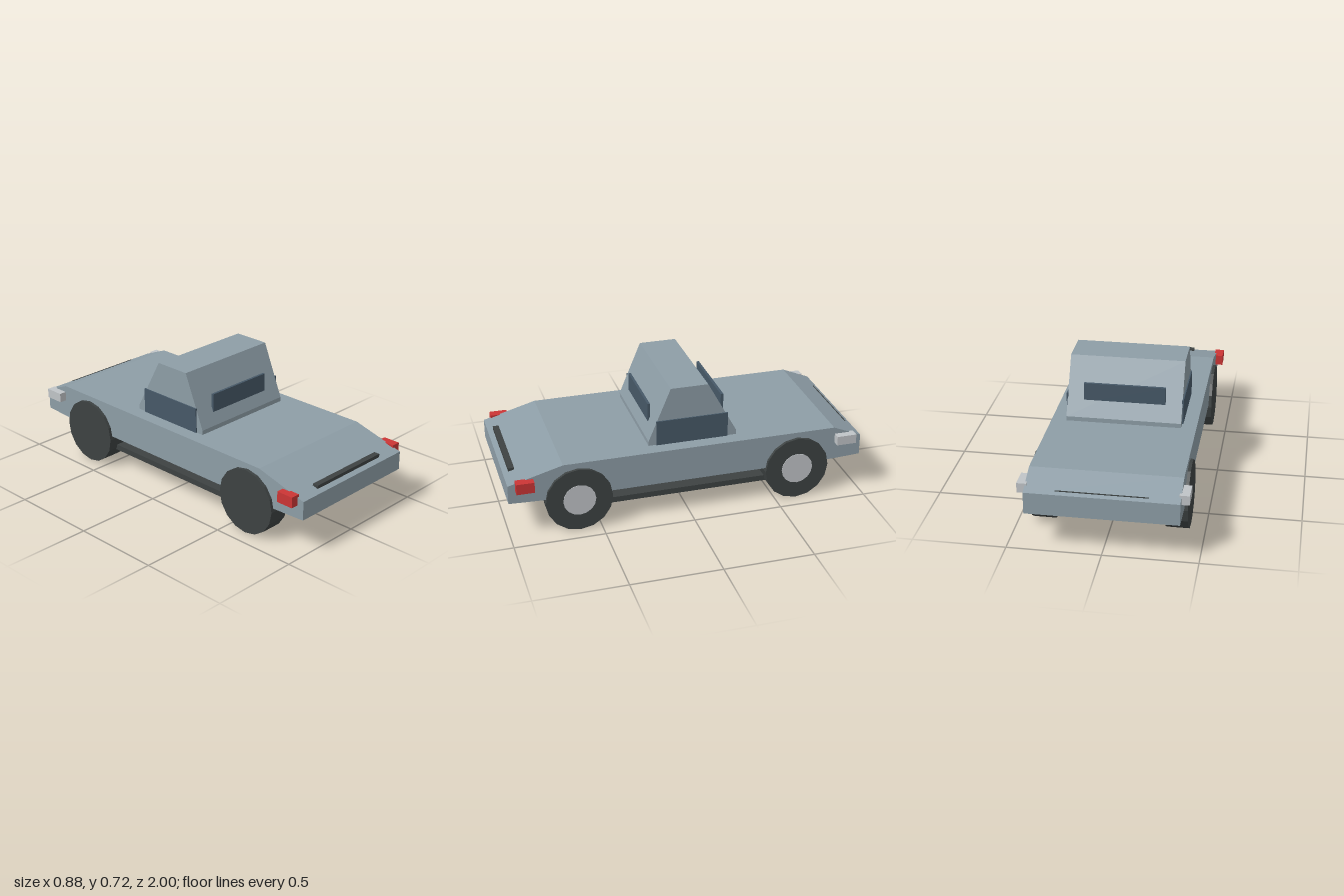
import * as THREE from 'three';

const paint = (name, color) => {
  const m = new THREE.MeshStandardMaterial({ color, flatShading: true });
  m.name = name;
  return m;
};

export function createModel() {
  const car = new THREE.Group();
  car.name = 'car';

  const bodyPaint = paint('body grey blue', 0x8d9da6);
  const glass = paint('window blue', 0x465867);
  const rubber = paint('dark rubber', 0x3d4242);
  const silver = paint('light silver', 0xc0c4c7);
  const red = paint('lamp red', 0xcb3535);

  const add = (name, geometry, material, parent = car) => {
    const mesh = new THREE.Mesh(geometry, material);
    mesh.name = name;
    parent.add(mesh);
    return mesh;
  };

  // Box given by its limits on each axis
  const box = (name, material, [x0, x1], [y0, y1], [z0, z1]) =>
    add(name, new THREE.BoxGeometry(x1 - x0, y1 - y0, z1 - z0), material)
      .position.set((x0 + x1) / 2, (y0 + y1) / 2, (z0 + z1) / 2);

  // Side profile of [z, y] points, extruded across the width
  const profile = (name, points, width) => {
    const shape = new THREE.Shape(points.map(([z, y]) => new THREE.Vector2(z, y)));
    const g = new THREE.ExtrudeGeometry(shape, { depth: width, bevelEnabled: false });
    g.translate(0, 0, -width / 2).rotateY(-Math.PI / 2);
    add(name, g, bodyPaint);
  };

  // Hull and cabin
  profile('body', [
    [1, 0.213], [1, 0.318], [0.7, 0.4], [-0.84, 0.4],
    [-1, 0.333], [-1, 0.213], [-0.84, 0.205], [0.8, 0.205],
  ], 0.8);
  profile('cabin', [
    [0.21, 0.39], [0.21, 0.425], [0.085, 0.725],
    [-0.125, 0.725], [-0.29, 0.425], [-0.29, 0.39],
  ], 0.634);

  // Upright window panes
  box('frontWindow', glass, [-0.206, 0.206], [0.492, 0.596], [0.17, 0.184]);
  box('rearWindow', glass, [-0.225, 0.225], [0.5, 0.609], [-0.243, -0.228]);

  // Grilles on the sloping ends
  box('frontGrille', rubber, [-0.255, 0.255], [0.324, 0.345], [0.937, 0.97]);
  box('rearGrille', rubber, [-0.24, 0.24], [0.33, 0.346], [-0.978, -0.973]);

  // Flat tray under the body
  box('underTray', rubber, [-0.36, 0.36], [0.105, 0.137], [-0.68, 0.68]);

  for (const side of [-1, 1]) {
    const across = (a, b) => [side * a, side * b].sort((p, q) => p - q);
    box('sideWindow', glass, across(0.315, 0.324), [0.39, 0.542], [-0.238, 0.166]);
    box('frontLamp', red, across(0.39, 0.442), [0.284, 0.344], [0.862, 0.96]);
    box('rearLamp', silver, across(0.39, 0.442), [0.308, 0.361], [-0.957, -0.845]);

    // Wheels, each with its hub disc on the +x face
    for (const end of [-1, 1]) {
      const wheel = new THREE.Group();
      wheel.name = 'wheel';
      wheel.position.set(side * 0.357, 0.186, end * 0.62);
      const tyre = new THREE.CylinderGeometry(0.184, 0.184, 0.12, 16).rotateZ(-Math.PI / 2);
      add('tyre', tyre, rubber, wheel);
      const hub = new THREE.CylinderGeometry(0.09, 0.09, 0.006, 16).rotateZ(-Math.PI / 2);
      add('hub', hub, silver, wheel).position.x = 0.06;
      car.add(wheel);
    }
  }
  return car;
}
